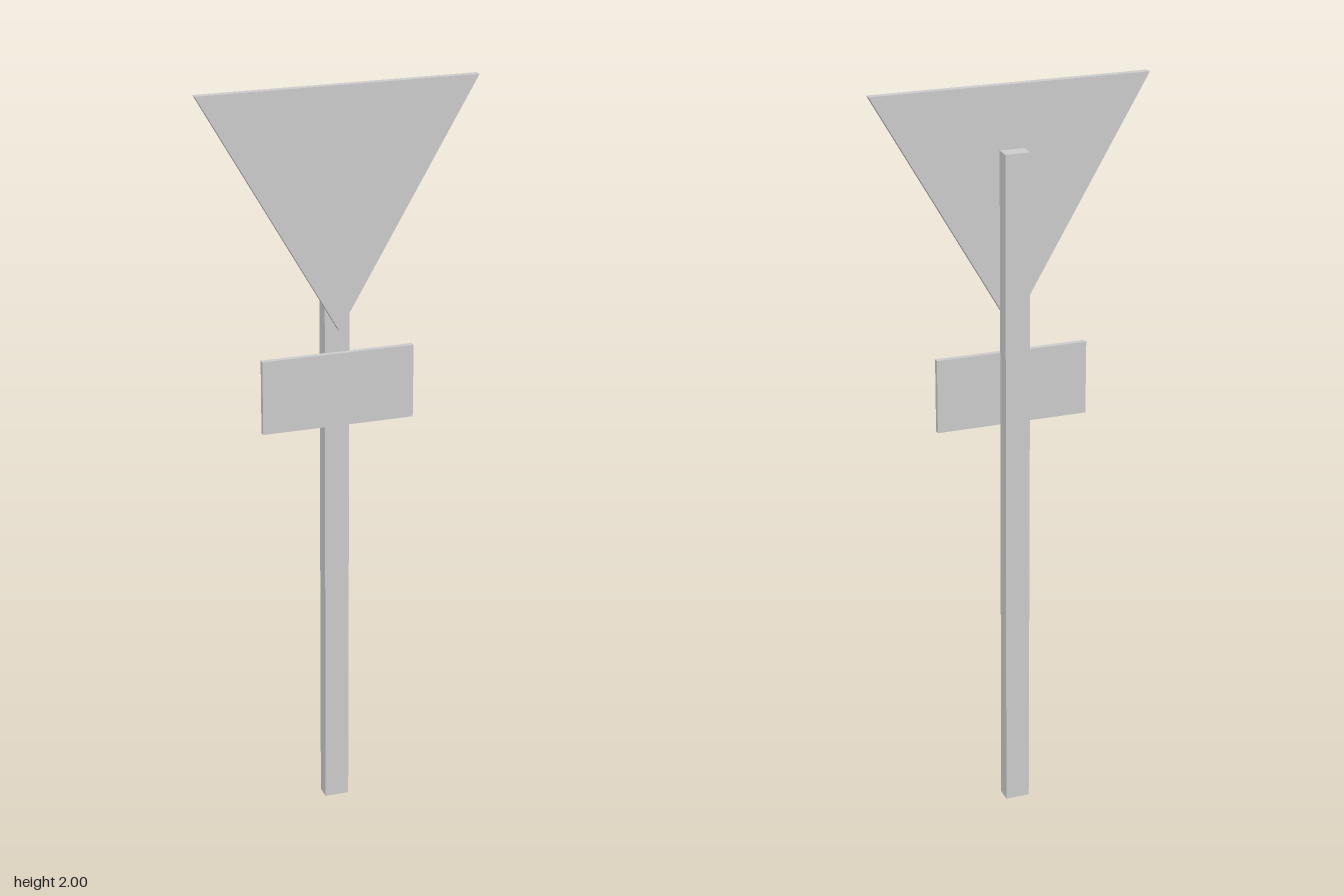
import * as THREE from 'three';

export function createModel() {
  const group = new THREE.Group();
  const grey = new THREE.MeshStandardMaterial({ color: 0xcccccc });
  grey.name = 'lightGrey';

  const add = (name, geometry) => {
    const mesh = new THREE.Mesh(geometry, grey);
    mesh.name = name;
    group.add(mesh);
    return mesh;
  };

  // Square-edged upright
  add('post', new THREE.BoxGeometry(0.066, 1.836, 0.042)).position.set(0, 0.918, -0.0105);

  // Small rectangular plate below the main sign
  add('lowerPlate', new THREE.BoxGeometry(0.408, 0.198, 0.015)).position.set(0, 1.203, 0.0165);

  // Point-down equilateral sign, fixed to the front of the post
  const half = 0.367;
  const triangle = new THREE.Shape([
    new THREE.Vector2(-half, 2),
    new THREE.Vector2(0, 2 - half * Math.sqrt(3)),
    new THREE.Vector2(half, 2),
  ]);
  add('triangleSign', new THREE.ExtrudeGeometry(triangle, { depth: 0.019, bevelEnabled: false }))
    .position.z = 0.0115;

  return group;
}
